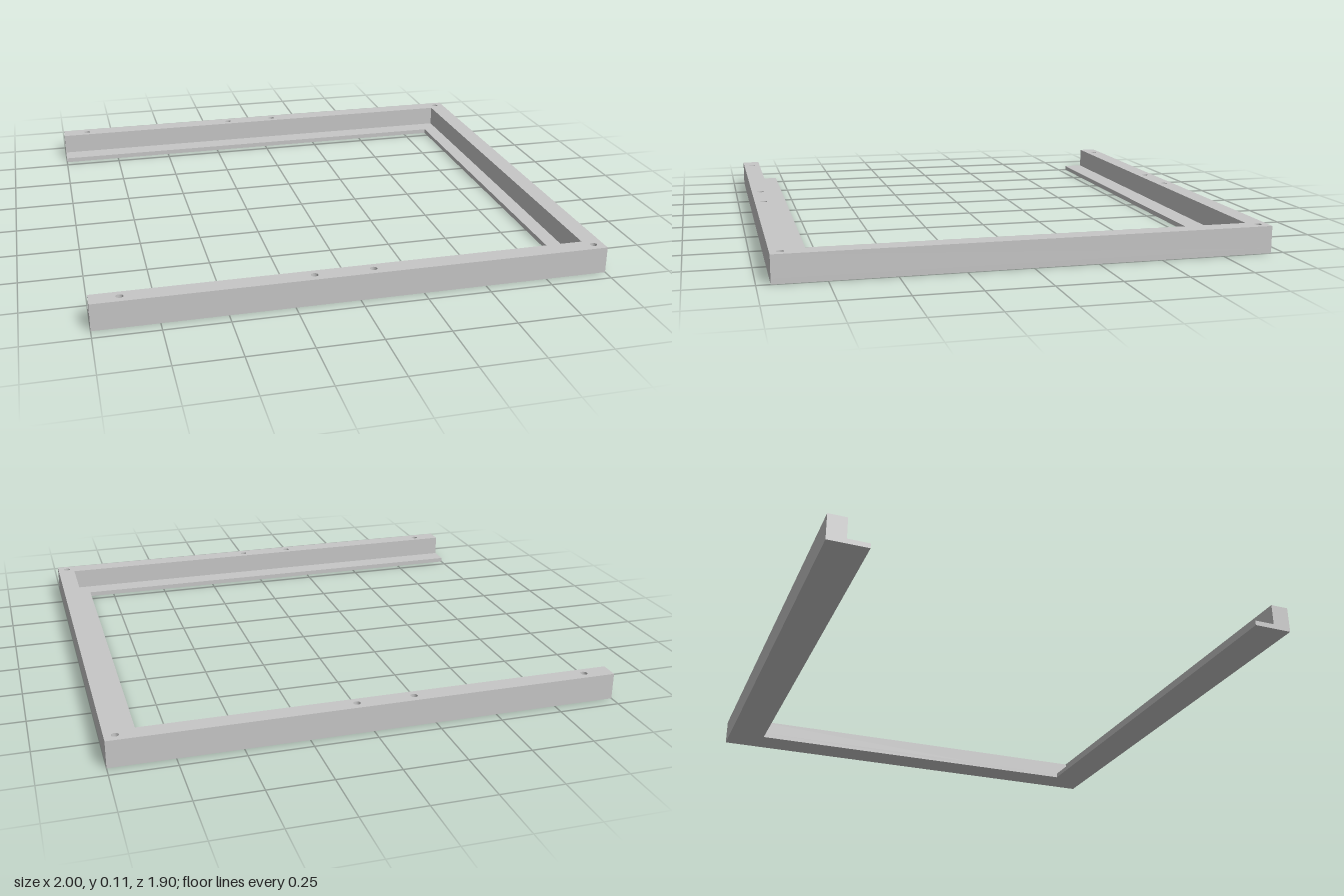
import * as THREE from 'three';

const HALF_DEPTH = 0.949;
const HEIGHT = 0.107;
const LEDGE = 0.02;

// U-shaped outline, open towards -x; innerX and innerZ bound the opening
function uShape(innerX, innerZ) {
  return new THREE.Shape([
    [-1, -HALF_DEPTH], [1, -HALF_DEPTH], [1, HALF_DEPTH], [-1, HALF_DEPTH],
    [-1, innerZ], [innerX, innerZ], [innerX, -innerZ], [-1, -innerZ],
  ].map(([x, z]) => new THREE.Vector2(x, z)));
}

// Extrude a plan outline upwards from height y
function slab(name, shape, y, height, material) {
  const geometry = new THREE.ExtrudeGeometry(shape, { depth: height, bevelEnabled: false, curveSegments: 16 });
  geometry.rotateX(-Math.PI / 2);
  geometry.translate(0, y, 0);
  const mesh = new THREE.Mesh(geometry, material);
  mesh.name = name;
  return mesh;
}

export function createModel() {
  const group = new THREE.Group();
  group.name = 'frame';
  const lightGrey = new THREE.MeshStandardMaterial({ color: 0xc7c7c7 });
  lightGrey.name = 'lightGrey';

  // Wide base whose inner margin forms the ledge
  group.add(slab('ledge', uShape(0.863, 0.788), 0, LEDGE, lightGrey));

  // Narrower upright wall with screw holes along both side rails
  const wall = uShape(0.926, 0.874);
  for (const x of [-0.888, -0.17, 0.058, 0.959]) {
    for (const z of [-0.91, 0.91]) {
      wall.holes.push(new THREE.Path().absarc(x, z, 0.014, 0, Math.PI * 2, true));
    }
  }
  group.add(slab('wall', wall, LEDGE, HEIGHT - LEDGE, lightGrey));
  return group;
}
